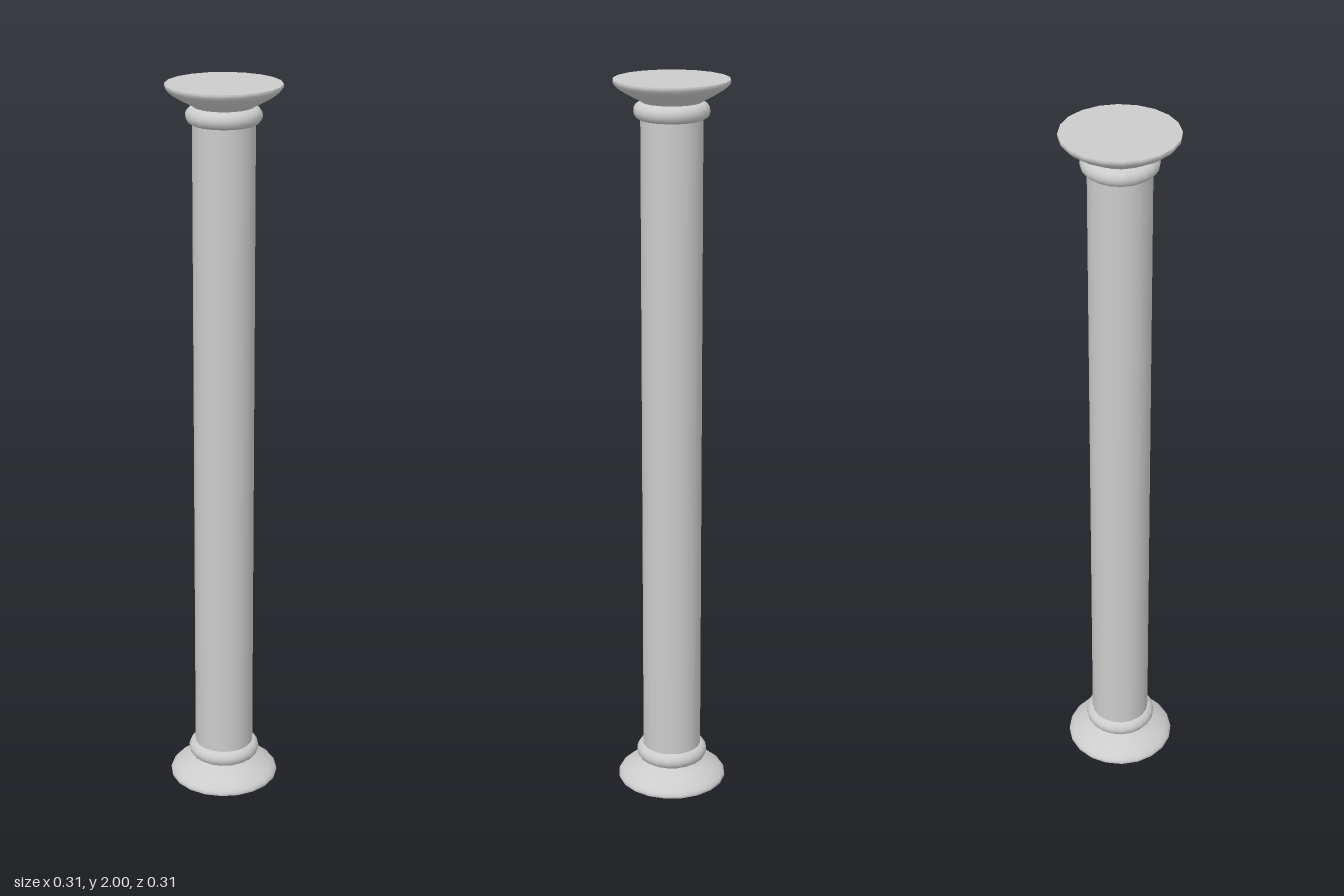
import * as THREE from 'three';

const SIDES = 20;
const material = new THREE.MeshStandardMaterial({ color: 0xcccccc });

function addLathe(parent, name, profile) {
  const points = profile.map(([r, y]) => new THREE.Vector2(r, y));
  const mesh = new THREE.Mesh(new THREE.LatheGeometry(points, SIDES), material);
  mesh.name = name;
  parent.add(mesh);
}

// One column end, measured upward from mid-height (y = 0) to the flat face (y = 1)
function createEnd(name) {
  const end = new THREE.Group();
  end.name = name;

  // Rounded collar around the shaft
  const collar = [];
  for (let i = 0; i <= 8; i++) {
    const a = -Math.PI / 2 + (Math.PI * i) / 8;
    collar.push([0.077 + 0.023 * Math.cos(a), 0.919 + 0.023 * Math.sin(a)]);
  }
  addLathe(end, 'collar', collar);

  // Flared plate with a softly rounded rim
  addLathe(end, 'flare', [
    [0.077, 0.935], [0.079, 0.943], [0.094, 0.951], [0.115, 0.962],
    [0.135, 0.974], [0.147, 0.984], [0.152, 0.991], [0.153, 0.996], [0.152, 1],
  ]);

  // Flat face closing the plate
  const face = new THREE.Mesh(new THREE.CircleGeometry(0.152, SIDES), material);
  face.name = 'face';
  face.rotation.x = -Math.PI / 2;
  face.position.y = 1;
  end.add(face);
  return end;
}

export function createModel() {
  const model = new THREE.Group();
  model.name = 'column';

  // Plain straight shaft
  addLathe(model, 'shaft', [[0.082, 0.08], [0.082, 1.92]]);

  // Matching capital and base
  const capital = createEnd('capital');
  capital.position.y = 1;
  const base = createEnd('base');
  base.position.y = 1;
  base.rotation.x = Math.PI;
  model.add(capital, base);
  return model;
}
